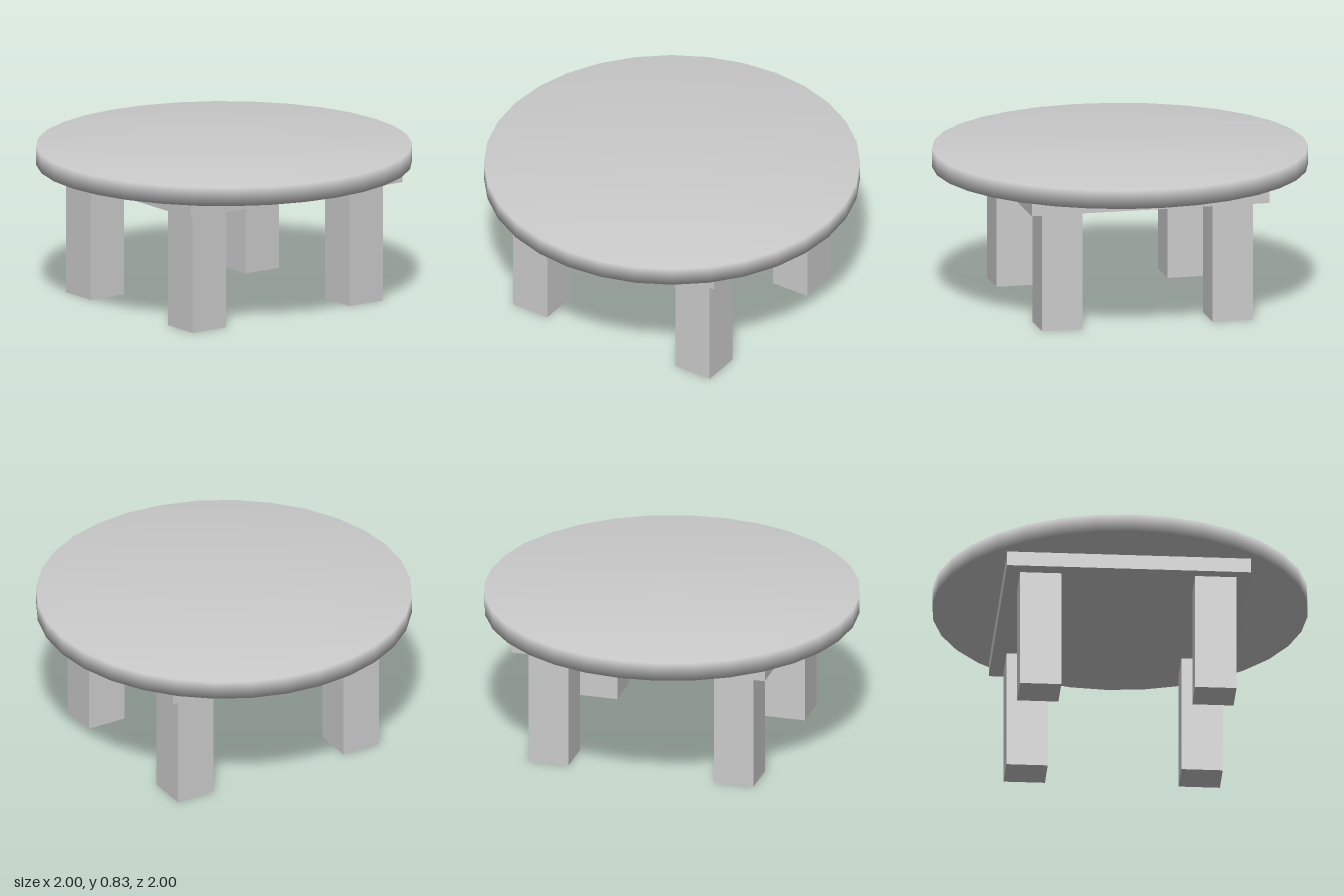
import * as THREE from 'three';
import { mergeVertices } from 'three/addons/utils/BufferGeometryUtils.js';

export function createModel() {
  const table = new THREE.Group();
  table.name = 'roundTable';
  const material = new THREE.MeshStandardMaterial({ color: 0xcccccc });

  const add = (name, geometry, x, y, z) => {
    const mesh = new THREE.Mesh(geometry, material);
    mesh.name = name;
    mesh.position.set(x, y, z);
    table.add(mesh);
  };

  // Round top, with normals shared between the rim and the faces
  let top = new THREE.CylinderGeometry(1, 1, 0.1, 32);
  top.deleteAttribute('normal');
  top.deleteAttribute('uv');
  top = mergeVertices(top);
  top.computeVertexNormals();
  add('tableTop', top, 0, 0.78, 0);

  // Slab joining the legs to the top
  add('supportSlab', new THREE.BoxGeometry(1.3, 0.08, 1.4), 0, 0.69, 0);

  // Four square legs, one slightly further forward than its neighbour
  const leg = new THREE.BoxGeometry(0.22, 0.65, 0.22);
  const legs = [
    ['frontLeftLeg', 0.466, 0.523],
    ['frontRightLeg', -0.466, 0.507],
    ['backLeftLeg', 0.466, -0.514],
    ['backRightLeg', -0.466, -0.517],
  ];
  for (const [name, x, z] of legs) add(name, leg, x, 0.325, z);

  return table;
}
